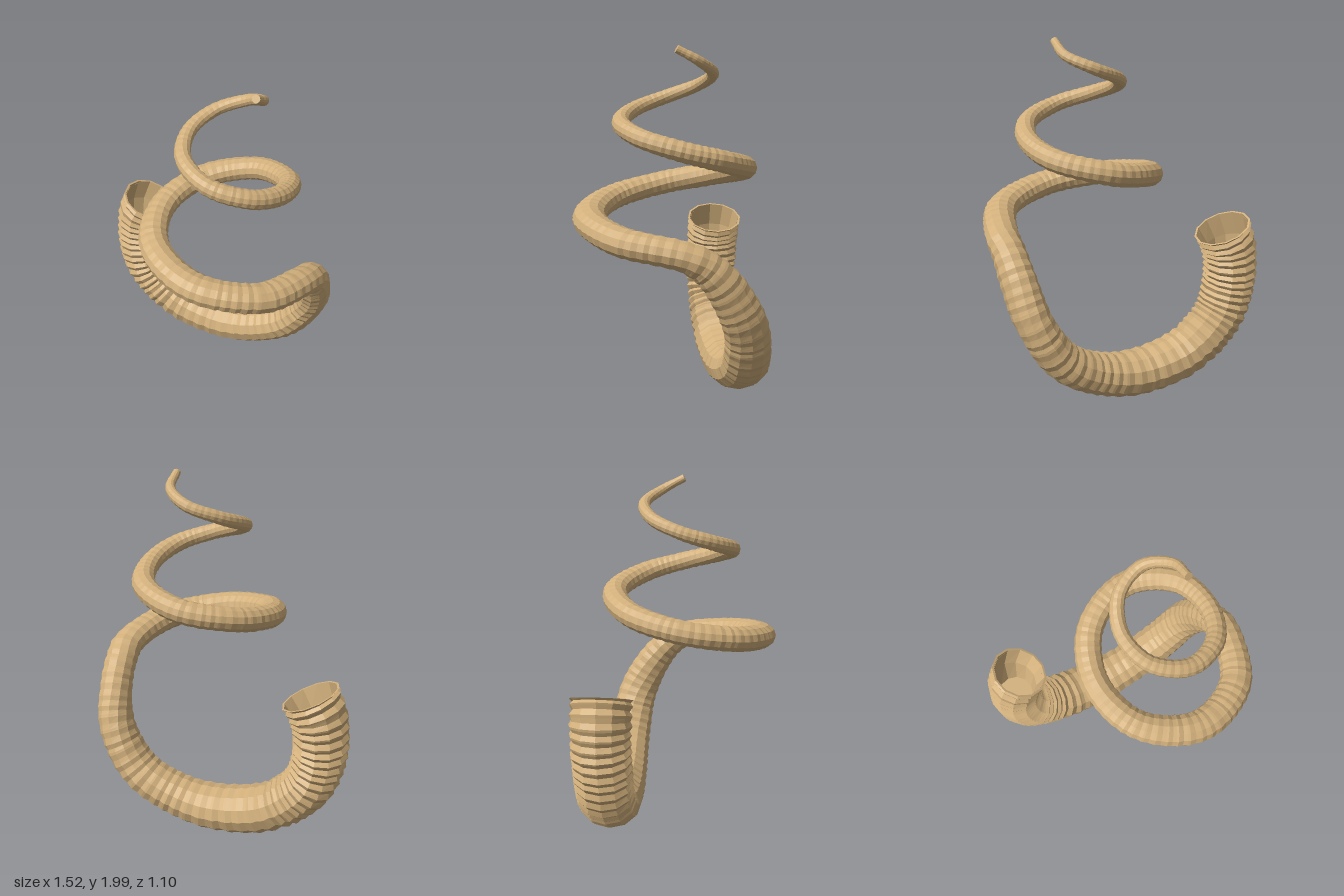
import * as THREE from 'three';

const SIDES = 12;
const AXIS_X = 0.2; // vertical axis of the upper spiral

// Centre line rows: x, y, z, radius outward, radius across
function controlRows() {
  const rows = [
    [-0.53, 0.92, -0.375, 0.165, 0.172],
    [-0.575, 0.82, -0.375, 0.16, 0.17],
    [-0.595, 0.70, -0.375, 0.157, 0.168],
    [-0.588, 0.55, -0.37, 0.153, 0.166],
    [-0.53, 0.38, -0.37, 0.147, 0.165],
    [-0.32, 0.2, -0.37, 0.138, 0.162],
    [-0.02, 0.136, -0.37, 0.129, 0.154],
    [0.22, 0.17, -0.37, 0.121, 0.144],
    [0.46, 0.3, -0.37, 0.112, 0.136],
    [0.615, 0.545, -0.33, 0.102, 0.125],
    [0.66, 0.76, -0.22, 0.097, 0.112],
    [0.667, 0.885, -0.11, 0.096, 0.094],
  ];
  // Spiral: distance from the axis and radii at each quarter turn
  const quarters = [
    [0.462, 0.095, 0.082], [0.462, 0.095, 0.076], [0.405, 0.079, 0.071],
    [0.397, 0.075, 0.066], [0.295, 0.06, 0.056], [0.285, 0.05, 0.048],
    [0.24, 0.042, 0.04], [0.218, 0.034, 0.033], [0.13, 0.022, 0.022],
  ];
  for (let k = 0; k <= 16; k++) {
    const q = k / 2, a = quarters[Math.floor(q)], b = quarters[Math.ceil(q)];
    const [d, rn, rb] = a.map((v, i) => (v + b[i]) / 2);
    const ang = q * Math.PI / 2;
    rows.push([AXIS_X + d * Math.cos(ang), 0.945 + 0.1295 * q, d * Math.sin(ang), rn, rb]);
  }
  return rows;
}

function seeded(seed) {
  return () => (seed = (seed * 16807) % 2147483647) / 2147483647;
}

export function createModel() {
  const rows = controlRows();
  const curve = new THREE.CatmullRomCurve3(rows.map(r => new THREE.Vector3(r[0], r[1], r[2])));
  curve.arcLengthDivisions = 1500;
  const length = curve.getLength();
  const rand = seeded(4711);

  // Cross-section at distance s along the horn
  function ring(s, scale) {
    const u = Math.min(1, Math.max(0, s / length));
    const t = curve.getUtoTmapping(u);
    const p = curve.getPoint(t), T = curve.getTangent(t);
    const f = t * (rows.length - 1), i = Math.min(Math.floor(f), rows.length - 2);
    const mix = c => THREE.MathUtils.lerp(rows[i][c], rows[i + 1][c], f - i);
    // outward direction passes from the lower bend to the spiral
    const w = THREE.MathUtils.smoothstep(f, 8, 12);
    const N = new THREE.Vector3(p.x, p.y - 0.75, 0).normalize()
      .lerp(new THREE.Vector3(p.x - AXIS_X, 0, p.z).normalize(), w);
    N.addScaledVector(T, -N.dot(T)).normalize();
    const B = new THREE.Vector3().crossVectors(T, N);
    const pts = [];
    for (let j = 0; j < SIDES; j++) {
      const a = (j / SIDES) * Math.PI * 2;
      pts.push(p.clone()
        .addScaledVector(N, Math.cos(a) * mix(3) * scale)
        .addScaledVector(B, Math.sin(a) * mix(4) * scale));
    }
    return pts;
  }

  // Hollow mouth from its floor up to the rim
  const rings = [ring(0.3, 0), ring(0.3, 0.68), ring(0.12, 0.82), ring(0, 0.93), ring(0, 1)];
  // Outside: uneven ridges, closer together towards the tip
  let s = 0;
  while (s < length - 0.05) {
    const k = s / length;
    const step = (s < 0.75 ? 0.05 : THREE.MathUtils.lerp(0.078, 0.034, k)) * (0.8 + 0.4 * rand());
    const depth = (s < 0.9 ? 0.085 : 0.05) * (0.7 + 0.6 * rand());
    rings.push(ring(s + step * 0.35, 1 - depth));
    rings.push(ring(s + step * 0.8, 1.01 - 0.02 * rand()));
    rings.push(ring(s + step, 1 - 0.3 * depth));
    s += step;
  }
  rings.push(ring(length, 1), ring(length, 0));

  // Skin the rings
  const pos = rings.flat().flatMap(v => [v.x, v.y, v.z]);
  const index = [];
  for (let i = 0; i < rings.length - 1; i++) {
    for (let j = 0; j < SIDES; j++) {
      const j2 = (j + 1) % SIDES;
      const a = i * SIDES + j, b = i * SIDES + j2, c = b + SIDES, d = a + SIDES;
      index.push(a, b, c, a, c, d);
    }
  }
  const geo = new THREE.BufferGeometry();
  geo.setAttribute('position', new THREE.Float32BufferAttribute(pos, 3));
  geo.setIndex(index);
  geo.computeVertexNormals();

  const horn = new THREE.Mesh(geo, new THREE.MeshStandardMaterial({ color: 0xd2b07c, flatShading: true }));
  horn.name = 'ridgedHorn';
  const group = new THREE.Group();
  group.name = 'spiralHorn';
  group.add(horn);
  return group;
}
